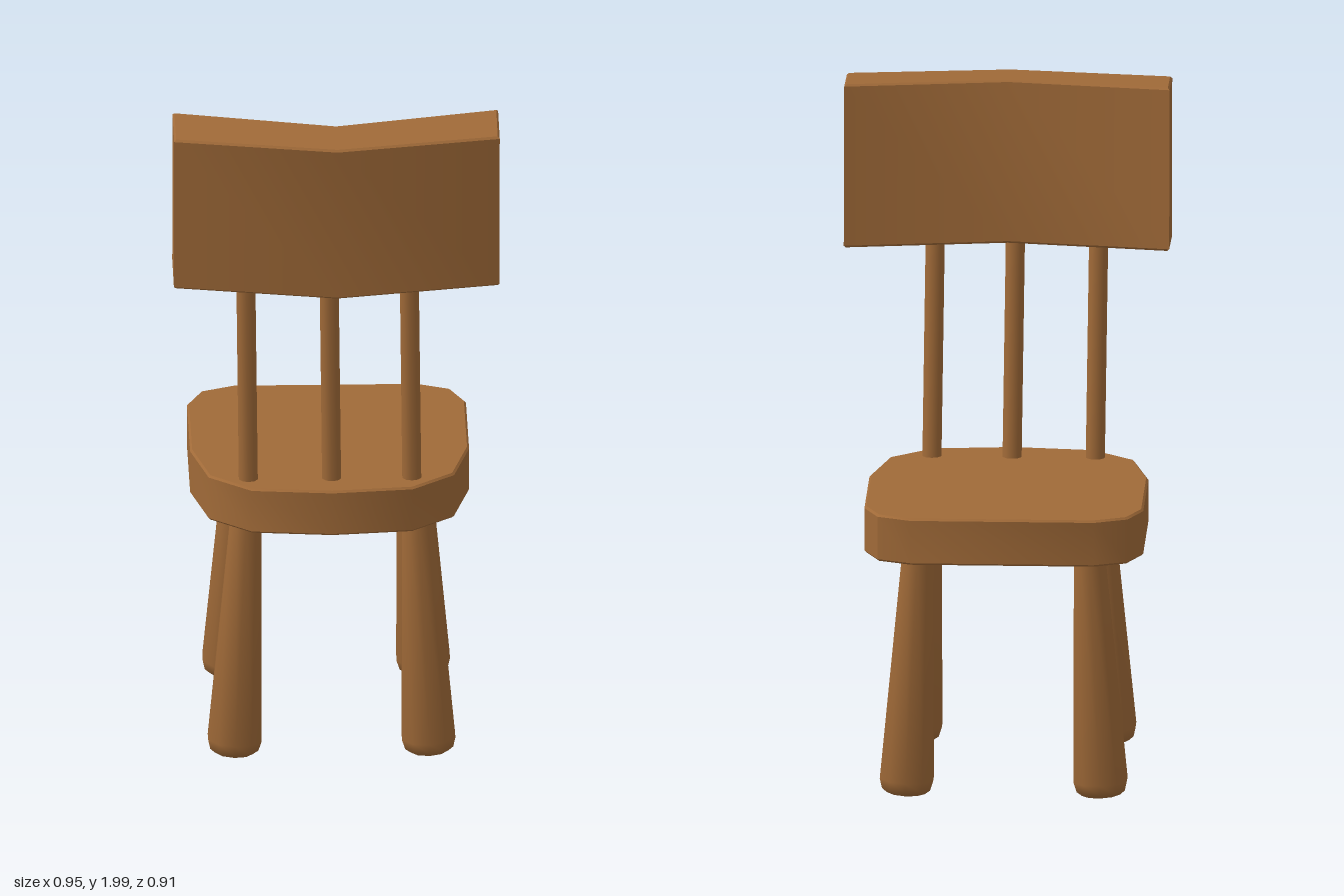
import * as THREE from 'three';
import { toCreasedNormals } from 'three/addons/utils/BufferGeometryUtils.js';

const wood = new THREE.MeshStandardMaterial({ color: 0xa06a38, roughness: 0.8 });
const UP = new THREE.Vector3(0, 1, 0);

// Upright slab from an [x, z] outline, centred on y = 0, with a fine bevel
function slab(outline, height, bevel, crease) {
  const shape = new THREE.Shape(outline.map(([x, z]) => new THREE.Vector2(x, -z)));
  const geo = new THREE.ExtrudeGeometry(shape, {
    depth: height - 2 * bevel, bevelThickness: bevel, bevelSize: bevel,
    bevelOffset: -bevel, bevelSegments: 1,
  });
  geo.rotateX(-Math.PI / 2);
  geo.translate(0, bevel - height / 2, 0);
  return toCreasedNormals(geo, crease);
}

// Right half of an outline (front to back) completed by its mirror image
function mirrored(half) {
  const other = half.filter(([x]) => x > 0).map(([x, z]) => [-x, z]).reverse();
  return [...half, ...other];
}

function part(group, name, geo) {
  const mesh = new THREE.Mesh(geo, wood);
  mesh.name = name;
  group.add(mesh);
  return mesh;
}

// Stand a mesh at one point, leaning toward another
function lean(mesh, from, to) {
  mesh.position.copy(from);
  mesh.quaternion.setFromUnitVectors(UP, to.clone().sub(from).normalize());
}

export function createModel() {
  const chair = new THREE.Group();
  chair.name = 'chair';

  // Seat: rounded front corners, bowed back edge
  const seatOutline = mirrored([
    [0.268, -0.457], [0.365, -0.415], [0.407, -0.32], [0.407, 0.03],
    [0.358, 0.23], [0.235, 0.335], [0, 0.36],
  ]);
  part(chair, 'seat', slab(seatOutline, 0.14, 0.006, 0.74)).position.set(-0.0125, 0.795, 0);

  // Backrest: shallow V in plan, tilted backward
  const backOutline = mirrored([
    [0, -0.028], [0.475, -0.125], [0.475, 0.058], [0, 0.137],
  ]);
  // the outline starts and ends on the centre line
  const backrest = part(chair, 'backrest', slab(backOutline, 0.485, 0.006, 0.6));
  backrest.position.set(0, 1.748, 0.3);
  backrest.rotation.x = 0.07;

  // Spindles between seat and backrest
  for (const x of [-0.255, -0.012, 0.222]) {
    const from = new THREE.Vector3(x, 0.82, 0.25);
    const to = new THREE.Vector3(x - 0.01, 1.62, 0.294);
    const length = from.distanceTo(to);
    const geo = new THREE.CylinderGeometry(0.029, 0.029, length, 10).translate(0, length / 2, 0);
    lean(part(chair, 'spindle', geo), from, to);
  }

  // Splayed legs, wider at the rounded foot
  const legProfile = [
    [0, 0], [0.058, 0.003], [0.074, 0.016], [0.082, 0.045], [0.046, 0.75], [0, 0.75],
  ].map(([r, y]) => new THREE.Vector2(r, y));
  const legGeo = toCreasedNormals(new THREE.LatheGeometry(legProfile, 10).toNonIndexed(), 0.9);
  for (const side of [-1, 1]) {
    for (const [name, zFoot, zTop] of [['frontLeg', -0.342, -0.322], ['backLeg', 0.267, 0.232]]) {
      const from = new THREE.Vector3(side * 0.285 - 0.013, 0.006, zFoot);
      const to = new THREE.Vector3(side * 0.25 - 0.012, 0.74, zTop);
      lean(part(chair, name, legGeo), from, to);
    }
  }
  return chair;
}
